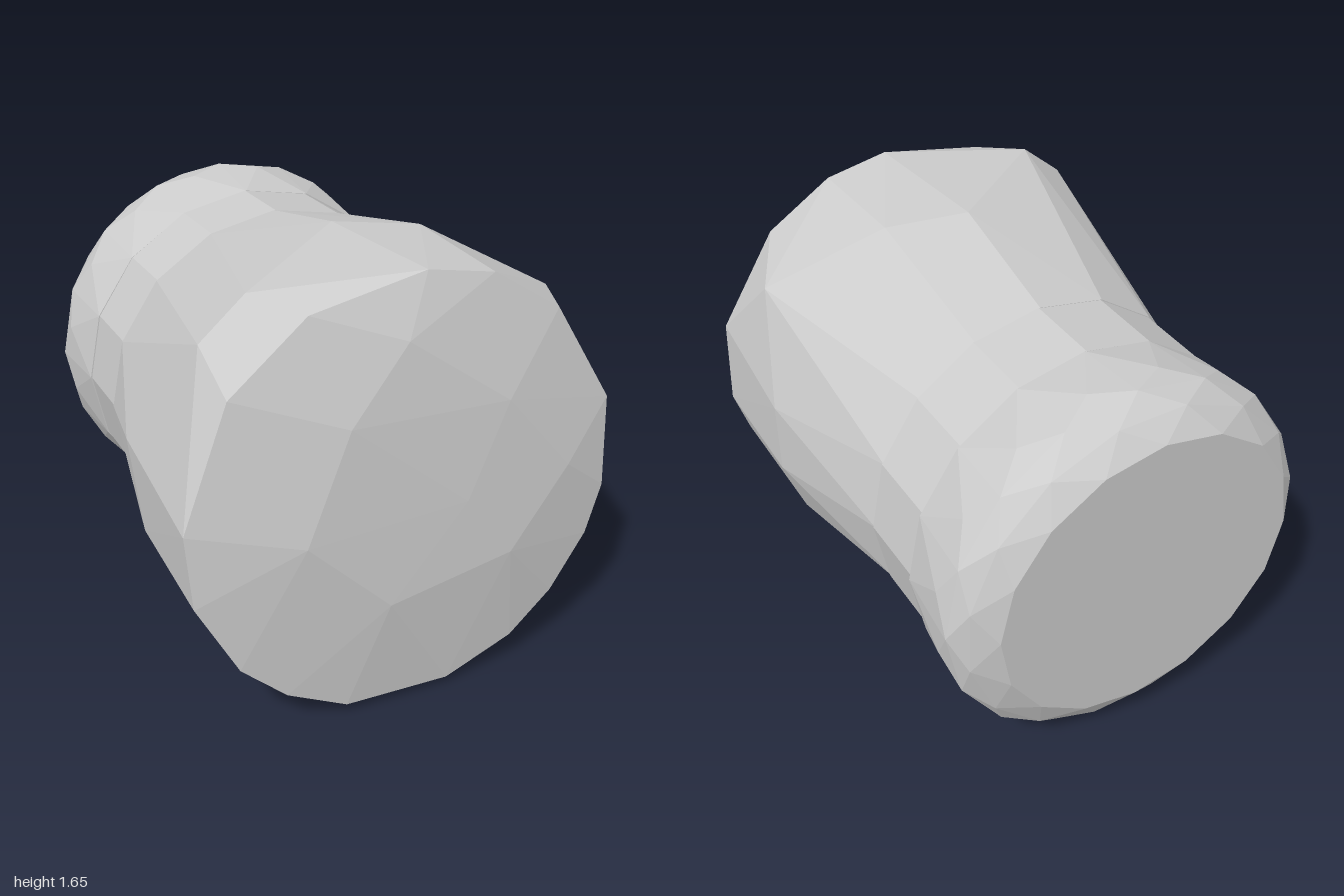
import * as THREE from 'three';
import { ConvexGeometry } from 'three/addons/geometries/ConvexGeometry.js';

const SIDES = 16;

// Ring of points around the z axis; z may be a number or a rule of (x, y)
function ring(cx, cy, rx, ry, z, shift = 0) {
  const points = [];
  for (let i = 0; i < SIDES; i++) {
    const a = Math.PI / 2 + ((i + shift) / SIDES) * Math.PI * 2;
    const x = cx + rx * Math.cos(a);
    const y = cy + ry * Math.sin(a);
    points.push(new THREE.Vector3(x, y, typeof z === 'function' ? z(x, y) : z));
  }
  return points;
}

const toPoints = (rows) => rows.map(([x, y, z]) => new THREE.Vector3(x, y, z));

// Faceted solid wrapped around its cross-sections
function solid(name, ...sections) {
  const material = new THREE.MeshStandardMaterial({ color: 0xcccccc, flatShading: true });
  const mesh = new THREE.Mesh(new ConvexGeometry(sections.flat()), material);
  mesh.name = name;
  return mesh;
}

export function createModel() {
  const group = new THREE.Group();
  group.name = 'facetedBarrel';

  // Body: uneven front rim, slightly tilted backwards at the top
  const rim = [
    [0.05, 1.65], [-0.37, 1.57], [-0.65, 1.34], [-0.82, 0.9],
    [-0.8, 0.62], [-0.65, 0.33], [-0.48, 0.17], [-0.25, 0.05],
    [0.16, 0.035], [0.43, 0.14], [0.6, 0.29], [0.74, 0.5],
    [0.8, 0.69], [0.79, 1.05], [0.56, 1.43], [0.3, 1.6],
  ].map(([x, y]) => new THREE.Vector3(x, y, 0.945 - 0.055 * y + 0.02 * x));

  // Body: widest cross-section
  const belly = toPoints([
    [0, 1.625, 0.28], [-0.5, 1.6, 0.67], [-0.67, 1.46, 0.68], [-0.81, 0.97, 0.32],
    [-0.79, 0.63, 0.4], [-0.63, 0.3, 0.4], [-0.41, 0.11, 0.4], [-0.2, 0.025, 0.4],
    [0.1, 0, 0.38], [0.32, 0.055, 0.4], [0.5, 0.15, 0.4], [0.7, 0.37, 0.47],
    [0.815, 0.68, 0.38], [0.815, 0.97, 0.38], [0.72, 1.37, 0.58], [0.3, 1.6, 0.38],
  ]);

  // Body: shallow dome of the front face
  const dome = toPoints([
    [-0.05, 1.45, 0.93], [-0.27, 1.2, 0.965], [0.33, 1.17, 0.965], [-0.43, 0.8, 0.98],
    [0.17, 0.83, 0.993], [-0.12, 0.49, 1], [0.36, 0.57, 1], [0.6, 0.85, 0.967],
  ]);
  group.add(solid('body', dome, rim, belly, ring(0.02, 0.79, 0.7, 0.7, -0.245)));

  // Narrow neck band
  group.add(solid('neckBand',
    ring(0.025, 0.79, 0.7, 0.7, -0.24),
    ring(0.025, 0.778, 0.7, 0.698, -0.54)));

  // Rounded rear cap with a tilted flat end
  group.add(solid('rearCap',
    ring(0.03, 0.778, 0.71, 0.698, -0.537),
    ring(0.035, 0.77, 0.735, 0.735, -0.76, 0.5),
    ring(0.035, 0.767, 0.735, 0.733, -0.84),
    ring(0.035, 0.765, 0.69, 0.695, (x, y) => -0.885 - 0.03 * y + 0.01 * x, 0.5),
    ring(0.03, 0.775, 0.6, 0.605, (x, y) => -0.943 - 0.041 * y + 0.02 * x)));

  return group;
}
